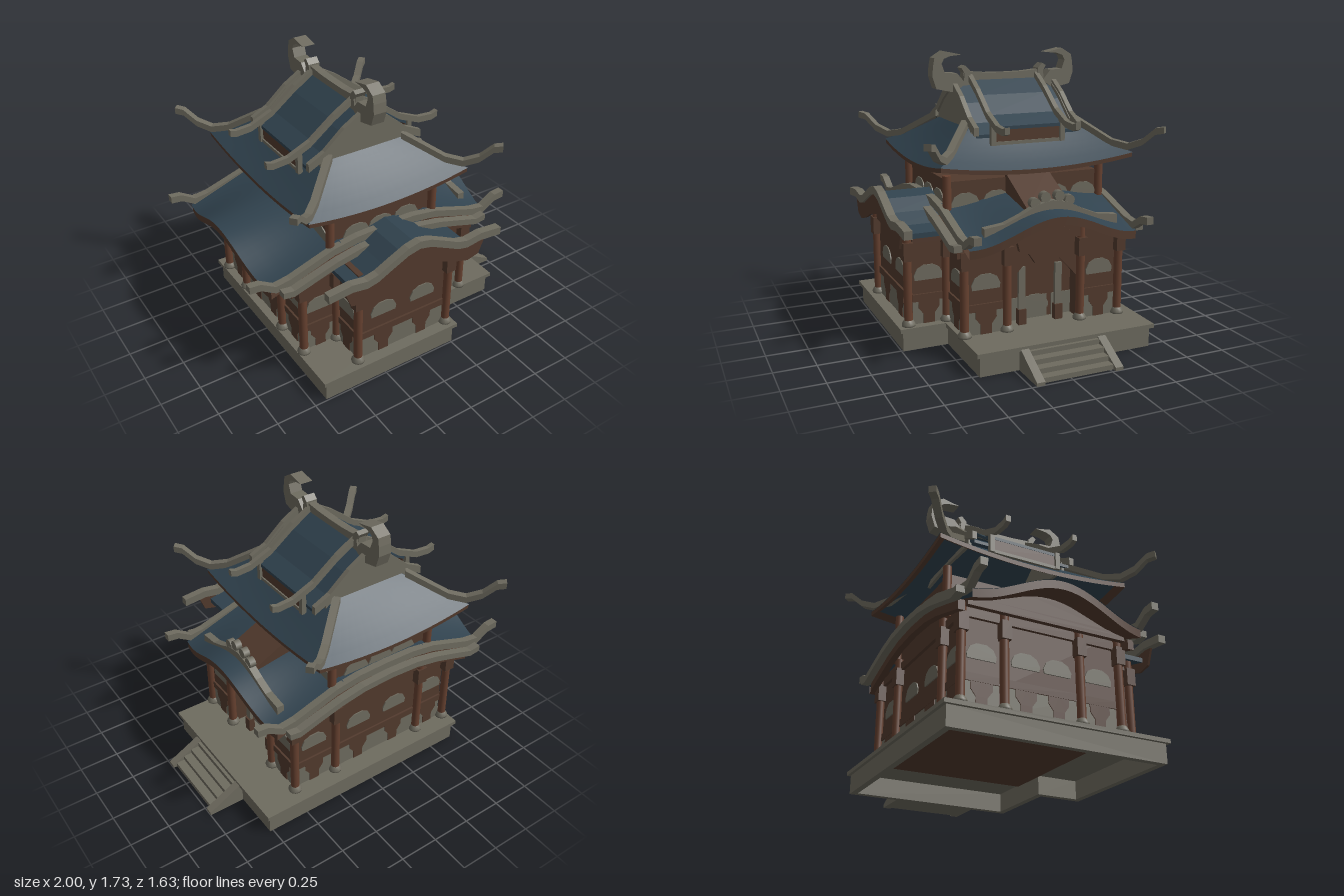
import * as THREE from 'three';

const mat = (name, color) => {
  const m = new THREE.MeshStandardMaterial({ color, side: THREE.DoubleSide });
  m.name = name;
  return m;
};

export function createModel() {
  const stone = mat('stone grey', 0x6e6b5f);
  const timber = mat('dark timber', 0x523a2d);
  const post = mat('post brown', 0x65402f);
  const tile = mat('roof blue', 0x30424e);
  const root = new THREE.Group();

  const add = (name, geo, m, x = 0, y = 0, z = 0, parent = root) => {
    const mesh = new THREE.Mesh(geo, m);
    mesh.name = name;
    mesh.position.set(x, y, z);
    parent.add(mesh);
    return mesh;
  };
  // box given by its limits
  const box = (name, m, x0, x1, y0, y1, z0, z1, parent = root) =>
    add(name, new THREE.BoxGeometry(x1 - x0, y1 - y0, z1 - z0), m, (x0 + x1) / 2, (y0 + y1) / 2, (z0 + z1) / 2, parent);
  // outline extruded to depth d, centred on its own plane
  const plate = (pts, d) => {
    const s = new THREE.Shape(pts.map(p => new THREE.Vector2(...p)));
    return new THREE.ExtrudeGeometry(s, { depth: d, bevelEnabled: false }).translate(0, 0, -d / 2);
  };
  // strip whose top follows pts, h thick and w wide
  const ribbon = (pts, h, w) => plate([...pts, ...pts.map(([x, y]) => [x, y - h]).reverse()], w);
  // half profile (centre outwards) mirrored to a full one
  const mirror = half => [...half.slice(1).map(([x, y]) => [-x, y]).reverse(), ...half];
  // surface shaped by a rule of u, v in 0..1
  const sheet = (nu, nv, fn) => {
    const g = new THREE.PlaneGeometry(1, 1, nu, nv);
    const p = g.attributes.position;
    for (let i = 0; i < p.count; i++) p.setXYZ(i, ...fn(p.getX(i) + 0.5, p.getY(i) + 0.5));
    g.computeVertexNormals();
    return g;
  };

  // ---- stone base: hollow skirt, top plate, timber floor beneath
  const footprint = o => [[-0.67 - o, 0.635 + o], [0.77 + o, 0.635 + o], [0.77 + o, -0.46 - o],
    [0.26 + o, -0.46 - o], [0.26 + o, -0.74 - o], [-0.67 - o, -0.74 - o]];
  const flat = (pts, hole, d) => {
    const s = new THREE.Shape(pts.map(p => new THREE.Vector2(...p)));
    if (hole) s.holes.push(new THREE.Path(hole.map(p => new THREE.Vector2(...p))));
    return new THREE.ExtrudeGeometry(s, { depth: d, bevelEnabled: false }).rotateX(-Math.PI / 2);
  };
  add('baseWall', flat(footprint(0), footprint(-0.04), 0.12), stone);
  add('basePlate', flat(footprint(0.02), null, 0.025), stone, 0, 0.12, 0);
  box('floor', timber, -0.55, 0.48, 0.112, 0.122, -0.52, 0.42);

  // ---- stairs on the right side
  for (let i = 0; i < 4; i++) box('step', stone, 0.75, 0.81 + i * 0.055, 0, 0.12 - i * 0.03, -0.27, 0.17);
  for (const z of [-0.295, 0.195])
    add('stairCheek', plate([[0.76, 0], [1, 0], [1, 0.02], [0.79, 0.13], [0.76, 0.13]], 0.05), stone, 0, 0, z);

  // ---- storey bodies
  box('lowerWall', timber, -0.63, 0.4, 0.14, 0.74, -0.53, 0.44);
  box('rightWallFront', timber, 0.4, 0.52, 0.14, 0.74, 0.19, 0.44);
  box('rightWallBack', timber, 0.4, 0.52, 0.14, 0.74, -0.53, -0.29);
  box('frontBay', timber, -0.41, 0.22, 0.14, 0.76, 0.4, 0.68);
  box('upperWall', timber, -0.45, 0.26, 0.7, 1.0, -0.535, 0.44);

  // ---- columns with rounded feet and bracket blocks
  const foot = new THREE.LatheGeometry([[0, 0], [0.04, 0], [0.042, 0.015], [0.03, 0.035], [0.026, 0.04]]
    .map(p => new THREE.Vector2(...p)), 12);
  const shaft = new THREE.CylinderGeometry(0.026, 0.026, 0.58, 12);
  const column = (x, z) => {
    add('column', shaft, post, x, 0.435, z);
    add('columnFoot', foot, stone, x, 0.142, z);
    box('bracket', timber, x - 0.035, x + 0.035, 0.55, 0.66, z - 0.03, z + 0.03);
  };
  for (const x of [-0.65, -0.42, 0.23, 0.53]) for (const z of [-0.55, 0.455]) column(x, z);
  for (const x of [-0.65, 0.53]) for (const z of [-0.29, 0.19]) column(x, z);
  for (const x of [-0.42, 0.23]) column(x, 0.695);
  for (const x of [-0.455, 0.265]) for (const z of [-0.55, 0.455])
    add('upperColumn', new THREE.CylinderGeometry(0.026, 0.026, 0.32, 12), post, x, 0.88, z);

  // ---- wall bays: grey lower panel, goblet post, rail and domed window
  const dome = plate([[-0.085, 0], [0.085, 0], [0.09, 0.03], [0.07, 0.07], [0.03, 0.092],
    [-0.03, 0.092], [-0.07, 0.07], [-0.09, 0.03]], 0.008);
  const goblet = plate(mirror([[0, 0], [0.035, 0], [0.035, 0.06], [0.065, 0.1], [0.065, 0.145], [0, 0.145]]), 0.008);
  const wall = (name, x, z, angle, bays, upper) => {
    const g = new THREE.Group();
    g.name = name;
    g.position.set(x, 0, z);
    g.rotation.y = angle;
    root.add(g);
    for (const [c, w] of bays) {
      if (upper) { add('upperWindow', dome, stone, c, 0.835, 0.003, g); continue; }
      box('lowerPanel', stone, c - w / 2, c + w / 2, 0.145, 0.285, -0.002, 0.005, g);
      const n = w > 0.4 ? 2 : 1;
      for (let i = 0; i < n; i++) {
        const p = c + (n > 1 ? (i - 0.5) * w * 0.46 : 0);
        add('gobletPost', goblet, timber, p, 0.143, 0.006, g);
        add('window', dome, stone, p, 0.415, 0.003, g);
      }
      box('rail', timber, c - w / 2, c + w / 2, 0.285, 0.33, 0, 0.012, g);
      box('topBeam', timber, c - w / 2, c + w / 2, 0.65, 0.7, 0, 0.02, g);
    }
  };
  const H = Math.PI / 2;
  wall('frontWall', 0, 0.44, 0, [[-0.53, 0.19], [0.38, 0.26]]);
  wall('frontBayWall', 0, 0.68, 0, [[-0.095, 0.61]]);
  wall('backWall', 0, -0.53, 2 * H, [[0.53, 0.19], [0.095, 0.61], [-0.38, 0.26]]);
  wall('rightWall', 0.52, 0, H, [[-0.32, 0.22], [0.42, 0.21]]);
  wall('leftWall', -0.63, 0, -H, [[0.32, 0.22], [-0.05, 0.44], [-0.42, 0.21]]);
  wall('frontBayRight', 0.22, 0, H, [[-0.565, 0.2]]);
  wall('frontBayLeft', -0.41, 0, -H, [[0.565, 0.2]]);
  const up = [[-0.27, 0], [-0.1, 0], [0.08, 0]];
  wall('upperFront', 0, 0.44, 0, up, true);
  wall('upperBack', 0, -0.535, 2 * H, up.map(([c]) => [-c, 0]), true);
  for (const [x, a, s] of [[0.26, H, -1], [-0.45, -H, 1]])
    wall('upperSide', x, 0, a, [[0.34 * s, 0], [0.14 * s, 0], [-0.25 * s, 0], [-0.44 * s, 0]], true);

  // ---- doorway with valance, hanging panels and posts
  add('doorPanel', dome, stone, 0.404, 0.2, -0.05).rotation.y = H;
  for (const z of [0.14, -0.05, -0.24]) box('doorBase', stone, 0.4, 0.406, 0.145, 0.285, z - 0.08, z + 0.08);
  for (const s of [-1, 1]) {
    box('doorLeaf', stone, 0.46, 0.48, 0.23, 0.5, -0.05 + s * 0.12 - 0.022, -0.05 + s * 0.12 + 0.022);
    box('doorPost', timber, 0.45, 0.49, 0.14, 0.24, -0.05 + s * 0.12 - 0.025, -0.05 + s * 0.12 + 0.025);
    add('doorBrace', plate([[0.1, 0.55], [0.24, 0.4], [0.24, 0.7], [0, 0.7], [0, 0.55]].map(([a, b]) => [a * s, b]), 0.02),
      timber, 0.5, 0, -0.05).rotation.y = -H;
  }
  add('doorValance', plate(mirror([[0, 0.53], [0.07, 0.54], [0.11, 0.6], [0.17, 0.62], [0.19, 0.7], [0, 0.8]]), 0.03),
    timber, 0.54, 0, -0.05).rotation.y = -H;

  // ---- lower roof: sheet with wavy side eaves
  const CX = -0.095, CZ = -0.055;
  const bump = s => Math.cos(s * H) ** 2;
  const edge = s => 0.765 + 0.05 * (1 - s * s);
  const lowerY = (k, s) => {           // k: 0 at eave, 1 at upper wall
    const e = 0.7 + 0.15 * bump(s);
    return e + (0.865 + 0.06 * bump(s) - e) * k;
  };
  for (const side of [-1, 1]) {
    const at = (v, s, drop, inset) => [CX + side * (0.3 + (edge(s) - inset - 0.3) * (1 - v)),
      lowerY(v, s) - drop, CZ + s * 0.53];
    add('lowerRoof', sheet(24, 6, (u, v) => at(v, u * 2 - 1, 0, 0)), tile);
    add('lowerEave', sheet(24, 1, (u, v) => at(0, u * 2 - 1, v * 0.05, 0.005)), timber);
    add('lowerSoffit', sheet(24, 3, (u, v) => at(v * 0.5, u * 2 - 1, 0.05, 0.005)), timber);
    // wavy beam closing the wall below the eave
    const beam = [-1, -0.75, -0.5, -0.25, 0, 0.25, 0.5, 0.75, 1].map(s => [s * 0.5, 0.7 + 0.13 * bump(s)]);
    add('wavyBeam', plate([...beam, [0.5, 0.67], [-0.5, 0.67]], 0.03), timber, CX + side * 0.63, 0, CZ).rotation.y = -H;
  }
  add('lowerRoofMiddle', sheet(1, 1, (u, v) => [CX + (u - 0.5) * 0.62, 0.86, CZ + (v - 0.5) * 1.06]), tile);

  // ---- horned verge boards on the front and back of the lower roof
  const verge = mirror([[0, 0.885], [0.2, 0.88], [0.36, 0.855], [0.5, 0.81], [0.65, 0.762], [0.74, 0.75], [0.83, 0.805], [0.9, 0.812]]);
  const underVerge = mirror([[0, 0.84], [0.2, 0.83], [0.36, 0.8], [0.5, 0.76], [0.65, 0.715], [0.72, 0.725]]);
  for (const s of [-1, 1]) {
    add('vergeBoard', ribbon(verge, 0.045, 0.045), stone, CX, 0, CZ + s * 0.535);
    add('lowerVergeBoard', ribbon(underVerge, 0.04, 0.05), stone, CX, 0, CZ + s * 0.58);
    add('vergeTimber', ribbon(underVerge.slice(1, -1).map(([x, y]) => [x, y - 0.03]), 0.06, 0.04), timber, CX, 0, CZ + s * 0.54);
  }

  // ---- front bay roof with wavy gable
  add('frontRoof', ribbon(mirror([[0, 0.905], [0.1, 0.88], [0.2, 0.815], [0.3, 0.76], [0.405, 0.735]]), 0.03, 0.38), tile, -0.075, 0, 0.58);
  add('frontGableBoard', ribbon(mirror([[0, 0.94], [0.08, 0.922], [0.2, 0.865], [0.28, 0.825], [0.35, 0.81], [0.45, 0.825], [0.6, 0.81]]), 0.05, 0.05),
    stone, -0.075, 0, 0.775);
  add('frontGablePanel', plate([...mirror([[0, 0.9], [0.2, 0.83], [0.32, 0.78], [0.49, 0.77]]),
    ...mirror([[0, 0.765], [0.15, 0.73], [0.27, 0.68], [0.37, 0.65], [0.45, 0.67]]).reverse()], 0.015), timber, -0.075, 0, 0.778);

  // ---- crest and sloping ridge over the right-hand eave
  add('crest', ribbon(mirror([[0, 0.92], [0.1, 0.9], [0.2, 0.85], [0.3, 0.81], [0.425, 0.795]]), 0.055, 0.045), stone, 0.58, 0, -0.065).rotation.y = -H;
  const disc = new THREE.CylinderGeometry(0.032, 0.032, 0.04, 10).rotateZ(H);
  for (const [dz, y] of [[-0.11, 0.91], [-0.045, 0.94], [0.045, 0.94], [0.11, 0.91]]) add('crestRosette', disc, stone, 0.58, y, -0.065 + dz);
  add('slopingRidge', plate([[0.25, 0.86], [0.25, 1.03], [0.57, 0.87], [0.57, 0.84]], 0.28), timber, 0, 0, -0.06);

  // ---- upper skirt roof
  const UX = -0.1, UZ = -0.065;
  const skirt = (k, u, t, drop) => {
    const s = u * 2 - 1, hx = 0.545 - 0.295 * t, hz = 0.62 - 0.29 * t;
    const y = 1.075 + 0.225 * (0.8 * t + 0.2 * t * t) + 0.05 * s * s * (1 - t) - drop;
    const [x, z] = [[s * hx, hz], [hx, -s * hz], [-s * hx, -hz], [-hx, s * hz]][k];
    return [UX + x, y, UZ + z];
  };
  for (let k = 0; k < 4; k++) {
    add('skirtRoof', sheet(16, 6, (u, v) => skirt(k, u, v, 0)), tile);
    add('skirtEave', sheet(16, 1, (u, v) => skirt(k, u, 0.01, v * 0.028)), timber);
    add('skirtSoffit', sheet(16, 1, (u, v) => skirt(k, u, 0.01 + v * 0.15, 0.028)), timber);
  }
  // corner hips with upturned tips
  const hip = [[0.25, 1.34], [0.35, 1.27], [0.45, 1.2], [0.53, 1.18], [0.6, 1.215], [0.66, 1.285], [0.7, 1.295]]
    .map(([x, y]) => [(x - 0.25) * 1.32, y]);
  for (const sx of [-1, 1]) for (const sz of [-1, 1])
    add('hip', ribbon(hip, 0.04, 0.045), stone, UX - 0.005 + sx * 0.25, 0, UZ + sz * 0.355).rotation.y = -Math.atan2(sz * 0.38, sx * 0.44);

  // ---- gabled top roof
  const gable = [[0, 1.565], [0.15, 1.47], [0.28, 1.365], [0.385, 1.31]];
  const lower = gable.map(([x, y]) => [x * 0.95, y - 0.045]);
  add('topRoof', ribbon(mirror(gable), 0.02, 0.45), tile, UX, 0, -0.055);
  add('topRoofEnds', ribbon(mirror(lower), 0.02, 0.65), tile, UX, 0, -0.06);
  for (const s of [-1, 1]) {
    box('topEave', timber, UX + s * 0.37 - 0.008, UX + s * 0.37 + 0.008, 1.22, 1.3, -0.27, 0.16);
    box('eaveSill', stone, UX + s * 0.375 - 0.012, UX + s * 0.375 + 0.012, 1.2, 1.22, -0.27, 0.16);
    add('gableRib', ribbon(mirror([[0, 1.6], [0.15, 1.51], [0.31, 1.39], [0.45, 1.33], [0.55, 1.322], [0.59, 1.335]]), 0.04, 0.03),
      stone, UX, 0, -0.055 + s * 0.225);
    box('ribDropLeft', stone, UX - 0.395, UX - 0.365, 1.2, 1.34, -0.07 + s * 0.225, -0.04 + s * 0.225);
    box('ribDropRight', stone, UX + 0.365, UX + 0.395, 1.2, 1.34, -0.07 + s * 0.225, -0.04 + s * 0.225);
    add('outerRib', ribbon(mirror([[0, 1.56], [0.15, 1.47], [0.28, 1.36], [0.385, 1.31]]), 0.05, 0.03), stone, UX, 0, -0.06 + s * 0.335);
    add('gableWall', plate(mirror([[0, 1.54], [0.15, 1.45], [0.3, 1.32], [0.3, 1.26], [0, 1.28]]), 0.02), stone, UX, 0, -0.06 + s * 0.325);
  }

  // ---- ridge with curled finials
  add('ridge', ribbon(mirror([[0, 1.59], [0.12, 1.592], [0.27, 1.605]]), 0.05, 0.05), stone, UX, 0, -0.055).rotation.y = -H;
  const finial = [[0.335, 1.48], [0.45, 1.505], [0.475, 1.58], [0.47, 1.64], [0.46, 1.69], [0.395, 1.73], [0.285, 1.707],
    [0.36, 1.7], [0.4, 1.685], [0.415, 1.655], [0.395, 1.6], [0.315, 1.595], [0.26, 1.53]];
  for (const s of [-1, 1]) {
    add('finial', plate(finial.map(([d, y]) => [d * s, y]), 0.085), stone, UX, 0, -0.055).rotation.y = -H;
    add('finialCollar', plate([[0.22, 1.52], [0.275, 1.52], [0.265, 1.59], [0.285, 1.625], [0.26, 1.64], [0.23, 1.61]].map(([d, y]) => [d * s, y]), 0.075),
      stone, UX, 0, -0.055).rotation.y = -H;
  }
  return root;
}
